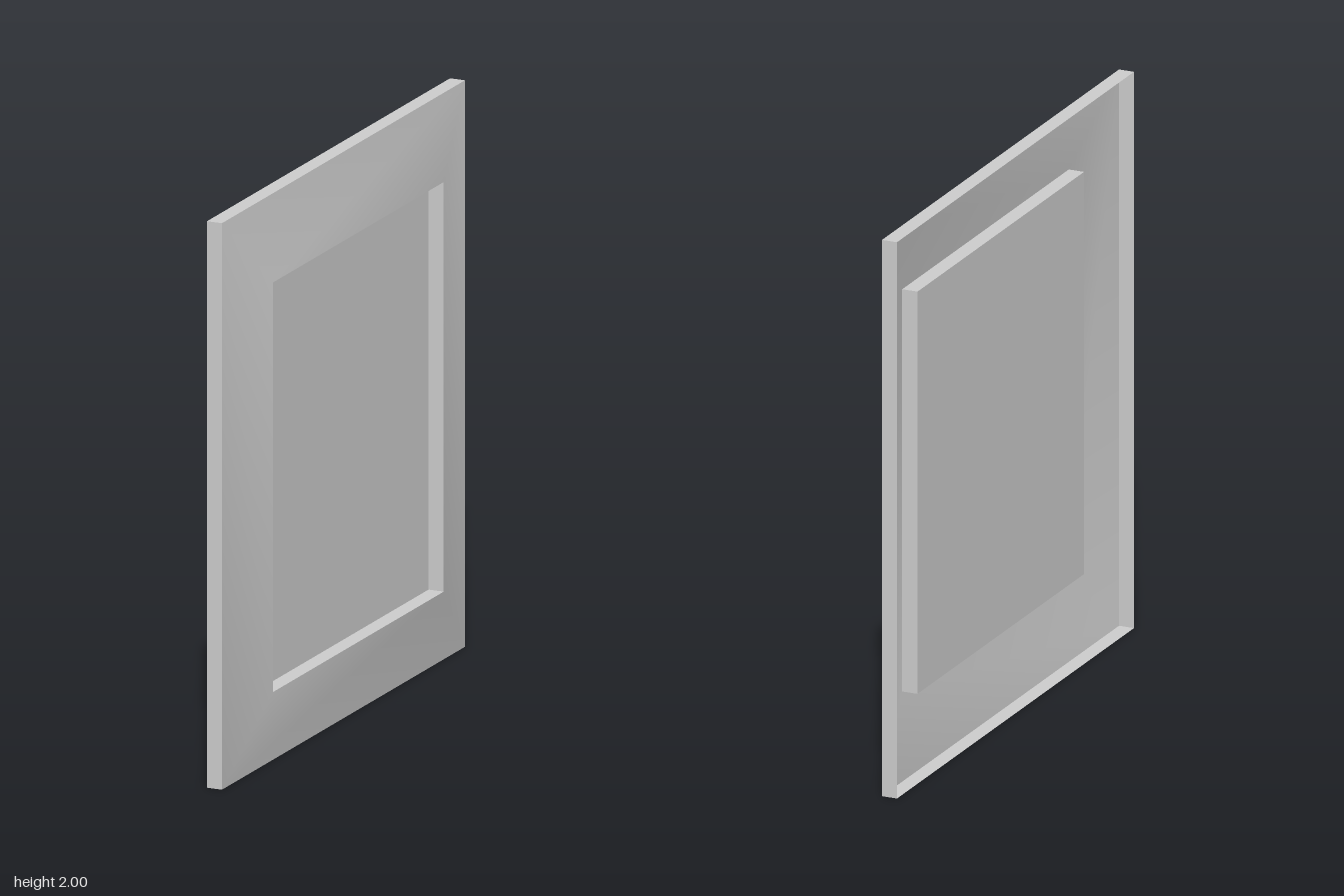
import * as THREE from 'three';
import { toCreasedNormals } from 'three/addons/utils/BufferGeometryUtils.js';

const material = new THREE.MeshStandardMaterial({ color: 0xcccccc, side: THREE.DoubleSide });

// Rectangular cross-section at depth x, counter-clockwise seen from +x
const ring = (x, halfH, halfD) =>
  [[-1, 1], [-1, -1], [1, -1], [1, 1]].map(([v, w]) => [x, 1 + v * halfH, w * halfD]);

// Joins two rings with four outward-facing quads
function band(name, back, front) {
  const pos = [];
  for (let i = 0; i < 4; i++) {
    const j = (i + 1) % 4;
    const [a, b, c, d] = [back[i], back[j], front[j], front[i]];
    pos.push(...a, ...c, ...b, ...a, ...d, ...c);
  }
  const geometry = new THREE.BufferGeometry();
  geometry.setAttribute('position', new THREE.Float32BufferAttribute(pos, 3));
  const mesh = new THREE.Mesh(toCreasedNormals(geometry, Math.PI / 6), material);
  mesh.name = name;
  return mesh;
}

export function createModel() {
  const group = new THREE.Group();
  group.name = 'framedPanel';

  // Sections of the thin shell, from the back rim to the bottom of the recess
  const rim = ring(-0.056, 1, 0.945);
  const edge = ring(0, 1, 0.945);
  const opening = ring(0.056, 0.723, 0.664);
  const recess = ring(-0.001, 0.723, 0.664);

  group.add(
    band('outerRim', rim, edge),
    band('slopedFrame', edge, opening),
    band('recessWall', opening, recess),
  );

  // Flat panel closing the recess
  const panel = new THREE.Mesh(new THREE.PlaneGeometry(1.328, 1.446), material);
  panel.name = 'recessedPanel';
  panel.rotation.y = Math.PI / 2;
  panel.position.set(-0.001, 1, 0);
  group.add(panel);

  return group;
}
